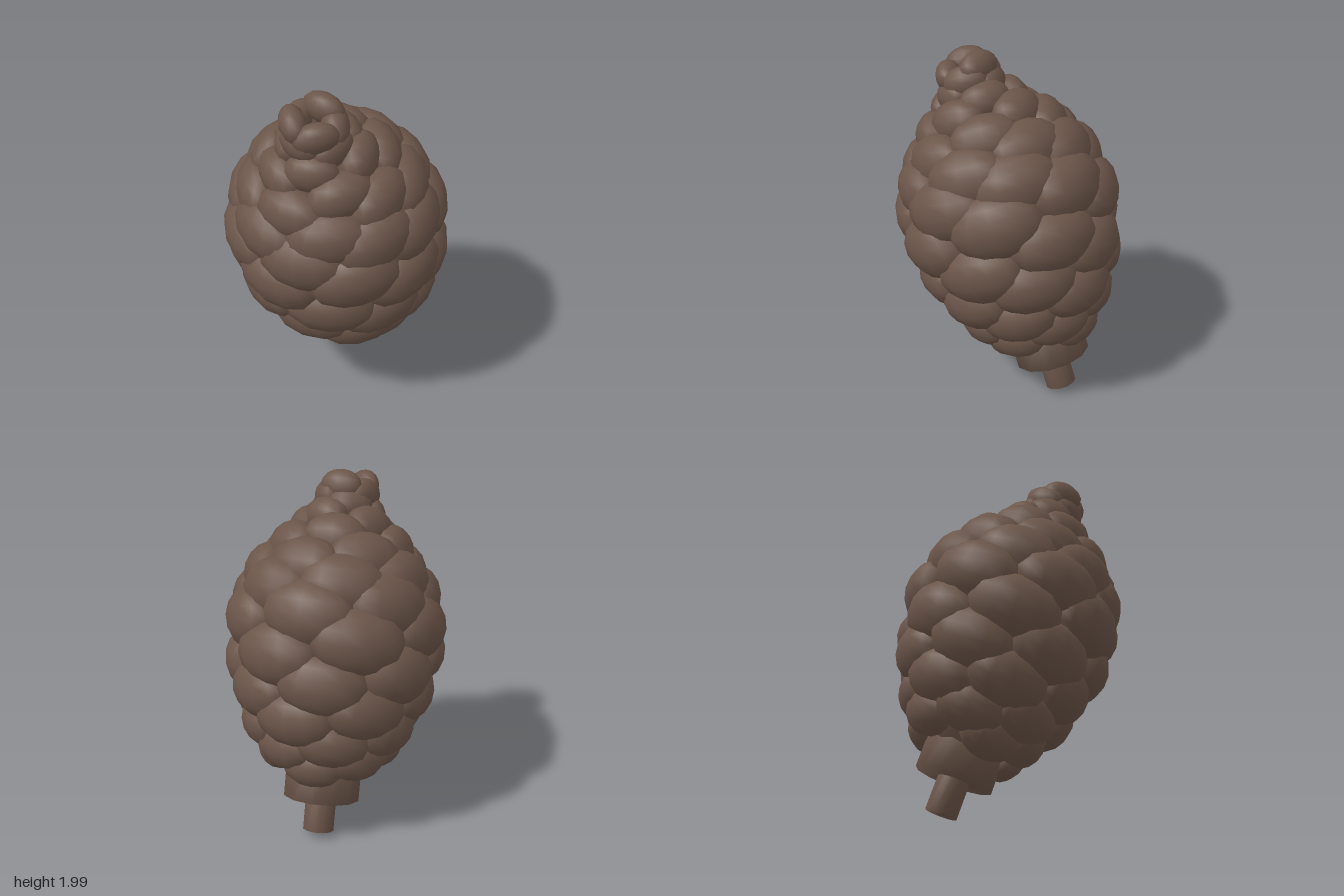
import * as THREE from 'three';
import { mergeVertices } from 'three/addons/utils/BufferGeometryUtils.js';

// Piecewise linear lookup in a short [key, value] table
function lookup(table, t) {
  for (let i = 1; i < table.length; i++) {
    const [a, va] = table[i - 1], [b, vb] = table[i];
    if (t <= b || i === table.length - 1) return va + (vb - va) * THREE.MathUtils.clamp((t - a) / (b - a), 0, 1);
  }
}

// Outer radius of the cone by height along its axis
const PROFILE = [
  [0.3, 0.27], [0.42, 0.35], [0.5, 0.41], [0.7, 0.535], [0.92, 0.605], [1.13, 0.64], [1.28, 0.62],
  [1.45, 0.545], [1.62, 0.415], [1.77, 0.265], [1.85, 0.19], [1.96, 0.175], [2.0, 0.16],
];
// Height along the axis by scale number
const HEIGHTS = [
  [-31, 0.4], [-21, 0.6], [-8, 0.93], [-5, 1.0], [0, 1.18], [8, 1.36],
  [16, 1.49], [21, 1.59], [29, 1.77], [34, 1.885], [39, 1.975],
];
const GOLDEN_ANGLE = THREE.MathUtils.degToRad(137.508);

// Cylinder whose caps share smooth normals with the wall
function softCylinder(top, bottom, height) {
  const geometry = new THREE.CylinderGeometry(top, bottom, height, 12);
  geometry.deleteAttribute('normal');
  geometry.deleteAttribute('uv');
  const welded = mergeVertices(geometry);
  welded.computeVertexNormals();
  return welded;
}

export function createModel() {
  const model = new THREE.Group();
  model.name = 'pineCone';
  const brown = new THREE.MeshStandardMaterial({ color: 0x6b5549 });
  brown.name = 'brown';

  // The whole cone leans forward
  const cone = new THREE.Group();
  cone.name = 'leaningCone';
  cone.position.set(0.007, 0.031, -0.368);
  cone.rotation.x = THREE.MathUtils.degToRad(20);
  model.add(cone);

  const add = (name, geometry, y = 0) => {
    const mesh = new THREE.Mesh(geometry, brown);
    mesh.name = name;
    mesh.position.y = y;
    cone.add(mesh);
    return mesh;
  };

  // Stalk and collar
  add('stalk', softCylinder(0.09, 0.09, 0.3), 0.15);
  add('collar', softCylinder(0.22, 0.22, 0.27), 0.331);

  // Solid core closing the gaps between scales
  const points = PROFILE.filter(([y]) => y < 1.9).map(([y, r]) => new THREE.Vector2(r - 0.1, y));
  points.unshift(new THREE.Vector2(0, 0.3));
  points.push(new THREE.Vector2(0, 1.9));
  add('core', new THREE.LatheGeometry(points, 20));

  // Overlapping scales on a golden angle spiral
  const scaleShape = new THREE.SphereGeometry(1, 12, 8);
  for (let k = -31; k <= 39; k++) {
    const y = lookup(HEIGHTS, k);
    const radius = lookup(PROFILE, y);
    const slope = (lookup(PROFILE, y + 0.08) - lookup(PROFILE, y - 0.08)) / 0.16;
    const width = 0.07 + 0.3 * radius;
    const depth = 0.6 * width;
    const angle = THREE.MathUtils.degToRad(-15) + k * GOLDEN_ANGLE;
    const reach = radius - depth;

    const scale = add('scale', scaleShape, y);
    scale.position.x = Math.sin(angle) * reach;
    scale.position.z = Math.cos(angle) * reach;
    scale.rotation.order = 'YXZ';
    scale.rotation.set(0.6 * Math.atan(slope) + 0.12, angle, 0);
    scale.scale.set(width, 0.72 * width, depth);
  }
  return model;
}
